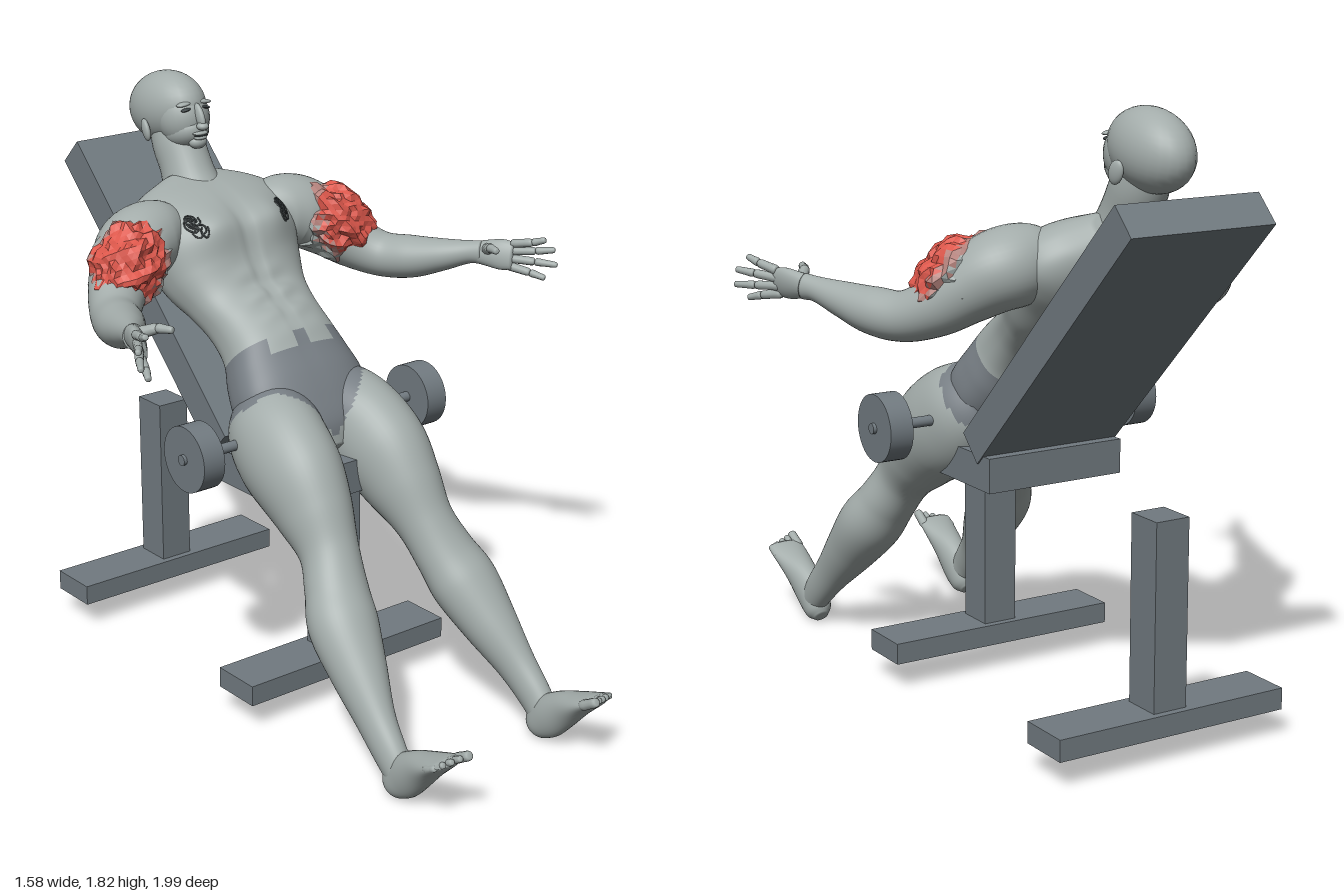
import * as THREE from 'three';

const V = (x, y, z) => new THREE.Vector3(x, y, z);
const material = (name, color, extra = {}) => new THREE.MeshStandardMaterial({ name, color, ...extra });
const gauss = (d, w) => Math.exp(-(d * d) / (w * w));
const noise = (x, y, z) => {
  const n = Math.sin(Math.round(x * 999) * 12.99 + Math.round(y * 999) * 78.23 + Math.round(z * 999) * 37.72) * 43758.5;
  return n - Math.floor(n);
};

export function createModel() {
  const model = new THREE.Group();
  model.name = 'inclineBenchExercise';
  const skin = material('skin grey', 0xa3acaa);
  const shorts = material('shorts grey', 0x777e84);
  const bench = material('bench grey', 0x717a80);
  const dark = material('dark lines', 0x3d4446);
  const red = material('muscle red', 0xdc574b, { flatShading: true });
  const pale = material('pale red', 0xb98680, { flatShading: true });
  const chip = material('torn skin', 0xa3acaa, { flatShading: true });

  const add = (name, geo, mat, pos = [0, 0, 0], parent = model) => {
    const m = new THREE.Mesh(geo, mat);
    m.name = name;
    m.position.set(...pos);
    parent.add(m);
    return m;
  };

  // Closed tube-like surface from rings f(u, angle), capped, sorted into material groups
  function surface(nu, nv, f, classify = () => 0) {
    const pos = [], lists = [[], []];
    for (let i = -1; i <= nu + 1; i++) {
      const u = Math.min(1, Math.max(0, i / nu));
      const ring = [];
      for (let j = 0; j < nv; j++) ring.push(f(u, (j / nv) * Math.PI * 2));
      if (i < 0 || i > nu) {
        const c = ring.reduce((a, p) => a.add(p), V(0, 0, 0)).divideScalar(nv);
        ring.forEach((p) => p.copy(c));
      }
      ring.forEach((p) => pos.push(p.x, p.y, p.z));
    }
    const at = (k) => V(pos[3 * k], pos[3 * k + 1], pos[3 * k + 2]);
    for (let i = 0; i < nu + 2; i++) for (let j = 0; j < nv; j++) {
      const a = i * nv + j, b = i * nv + ((j + 1) % nv), c = b + nv, d = a + nv;
      lists[classify(at(a).add(at(c)).multiplyScalar(0.5))].push(a, b, c, a, c, d);
    }
    const g = new THREE.BufferGeometry();
    g.setAttribute('position', new THREE.Float32BufferAttribute(pos, 3));
    g.setIndex([...lists[0], ...lists[1]]);
    g.addGroup(0, lists[0].length, 0);
    g.addGroup(lists[0].length, lists[1].length, 1);
    g.computeVertexNormals();
    return g;
  }

  // Limb from rows [x, y, z, half width, half depth]; depth points towards ref
  function limb(rows, side, ref, nu, nv, classify) {
    const path = new THREE.CatmullRomCurve3(rows.map((r) => V(r[0] * side, r[1], r[2])), false, 'catmullrom');
    const size = new THREE.CatmullRomCurve3(rows.map((r) => V(r[3], r[4], 0)), false, 'catmullrom');
    return surface(nu, nv, (u, a) => {
      const T = path.getTangent(u), r = size.getPoint(u);
      const e2 = ref.clone().addScaledVector(T, -ref.dot(T)).normalize();
      const e1 = e2.clone().cross(T);
      return path.getPoint(u).addScaledVector(e1, r.x * Math.cos(a)).addScaledVector(e2, r.y * Math.sin(a));
    }, classify);
  }

  // Bench: feet, posts, seat and inclined backrest
  const box = (name, w, h, d, pos) => add(name, new THREE.BoxGeometry(w, h, d), bench, pos);
  for (const [end, z, top] of [['front', 0.085, 0.7], ['rear', -0.82, 0.72]]) {
    box(end + 'FootBar', 0.76, 0.065, 0.165, [0, 0.133, z]);
    box(end + 'Post', 0.11, top - 0.15, 0.12, [0, (top + 0.15) / 2, z]);
  }
  box('seat', 0.46, 0.105, 0.44, [0, 0.738, -0.07]);
  box('backrest', 0.47, 1.09, 0.11, [0, 1.187, -0.575]).rotation.x = -Math.PI / 4;

  // Barbell across the hips
  const disc = (name, r, len, x) => {
    add(name, new THREE.CylinderGeometry(r, r, len, 40), bench, [x, 0.86, -0.035]).rotation.z = Math.PI / 2;
  };
  disc('barbellBar', 0.016, 0.96, 0);
  for (const s of [-1, 1]) disc('barbellPlate', 0.102, 0.075, s * 0.432);

  // Torso in reclined coordinates: s runs up the spine, t rises off the bench
  const recline = (x, s, t) => V(x, 0.69 + (s + t) * Math.SQRT1_2, (t - s) * Math.SQRT1_2);
  const rows = [ // s, half width, back, front
    [0.03, 0.07, 0.05, 0.17], [0.09, 0.17, 0.0, 0.215], [0.17, 0.22, -0.01, 0.24], [0.25, 0.228, -0.01, 0.255],
    [0.33, 0.212, 0.0, 0.26], [0.41, 0.19, 0.02, 0.265], [0.5, 0.187, 0.015, 0.25], [0.59, 0.205, 0.0, 0.23],
    [0.68, 0.235, -0.03, 0.245], [0.77, 0.26, -0.04, 0.272], [0.86, 0.285, -0.035, 0.262], [0.93, 0.28, -0.015, 0.235],
    [0.99, 0.22, 0.015, 0.2], [1.04, 0.11, 0.05, 0.17],
  ];
  const widths = new THREE.CatmullRomCurve3(rows.map((r) => V(r[0], r[1], 0)), false, 'catmullrom');
  const depths = new THREE.CatmullRomCurve3(rows.map((r) => V(r[0], r[2], r[3])), false, 'catmullrom');
  const torsoPoint = (u, angle, lift = 0) => {
    const { x: s, y: w } = widths.getPoint(u), { y: back, z: front } = depths.getPoint(u);
    const c = Math.cos(angle), n = -Math.sin(angle), f = Math.max(0, n);
    const x = w * Math.sign(c) * Math.abs(c) ** 0.85;
    let t = (back + front) / 2 + ((front - back) / 2 + lift) * Math.sign(n) * Math.abs(n) ** 0.8;
    // chest, midline and stomach relief
    t += f * 0.03 * gauss(Math.abs(x) - 0.11, 0.08) * gauss(s - 0.77, 0.075);
    t -= f * 0.012 * gauss(x, 0.014) * gauss(s - 0.65, 0.22);
    t += f * 0.007 * Math.cos((s - 0.46) * 75) * gauss(Math.abs(x) - 0.05, 0.04) * gauss(s - 0.53, 0.1);
    t += (1 - f) * 0.012 * gauss(x, 0.03) * gauss(s - 0.65, 0.3);
    return recline(x, s, t);
  };
  const isShorts = (p) => {
    const s = (p.y - 0.69 - p.z) * Math.SQRT1_2, t = (p.y - 0.69 + p.z) * Math.SQRT1_2, x = Math.abs(p.x);
    const top = 0.39 - (t > 0.15 && Math.abs(x - 0.07) < 0.045 ? 0.055 : 0);
    return s < top && s > 0.05 + 0.17 * Math.min(1, x / 0.17) ? 1 : 0;
  };
  add('torso', surface(120, 80, torsoPoint, isShorts), [skin, shorts]);

  // Neck and head
  add('neck', limb([[0, 1.4, -0.57, 0.11, 0.11], [0, 1.48, -0.625, 0.09, 0.1], [0, 1.55, -0.66, 0.08, 0.088],
    [0, 1.62, -0.7, 0.08, 0.088], [0, 1.69, -0.73, 0.07, 0.08]], 1, V(0, 0, 1), 16, 32), skin);
  const ball = (name, p, r, mat = skin, tilt = 0) => {
    const m = add(name, new THREE.SphereGeometry(1, 28, 20), mat, p);
    m.scale.set(...r);
    m.rotation.x = tilt;
    return m;
  };
  ball('skull', [0, 1.722, -0.752], [0.1, 0.115, 0.16], skin, -0.2);
  ball('face', [0, 1.705, -0.67], [0.083, 0.095, 0.088], skin, -0.2);
  ball('jaw', [0, 1.662, -0.66], [0.07, 0.058, 0.088], skin, -0.25);
  ball('chin', [0, 1.638, -0.593], [0.03, 0.022, 0.025]);
  ball('noseBridge', [0, 1.722, -0.58], [0.012, 0.042, 0.02], skin, -0.5);
  ball('noseTip', [0, 1.692, -0.565], [0.019, 0.013, 0.02]);
  ball('upperLip', [0, 1.668, -0.578], [0.028, 0.007, 0.014]);
  ball('mouthLine', [0, 1.661, -0.573], [0.026, 0.0025, 0.008], dark);
  ball('lowerLip', [0, 1.654, -0.577], [0.024, 0.007, 0.013]);
  for (const s of [-1, 1]) {
    ball('ear', [s * 0.1, 1.665, -0.73], [0.012, 0.036, 0.024], skin, -0.4).rotation.y = s * 0.3;
    ball('eye', [s * 0.037, 1.742, -0.601], [0.017, 0.005, 0.012], dark).rotation.z = -s * 0.2;
    ball('brow', [s * 0.038, 1.758, -0.611], [0.027, 0.007, 0.014]).rotation.z = -s * 0.12;
  }

  // Strands over the chest, laid along the torso surface
  for (const s of [-1, 1]) for (let k = 0; k < 9; k++) {
    const cx = 0.02 * Math.sin(k * 2.4), cu = 0.022 * Math.cos(k * 1.7);
    const pts = [0, 1, 2, 3, 4].map((i) => {
      const q = k * 1.3 + i * 1.25, r = 0.5 + 0.5 * noise(k, i, 1);
      const across = s * (0.98 + 5 * cx + 0.12 * r * Math.cos(q));
      return torsoPoint(0.715 + cu + 0.022 * r * Math.sin(q), -Math.PI / 2 + across * 0.62, 0.002);
    });
    add('chestStrand', new THREE.TubeGeometry(new THREE.CatmullRomCurve3(pts), 20, 0.0028, 5), dark);
  }

  const rod = (name, a, b, r0, r1, side) =>
    add(name, limb([0, 0.08, 0.5, 0.92, 1].map((k) => {
      const r = (r0 + (r1 - r0) * k) * (k === 0 || k === 1 ? 0.5 : 1);
      return [0, 1, 2].map((i) => a[i] + (b[i] - a[i]) * k).concat(r, r);
    }), side, V(0, 1, 0.3), 10, 10), skin);

  for (const side of [-1, 1]) {
    // Leg
    add('leg', limb([[0.11, 0.93, -0.11, 0.1, 0.12], [0.135, 0.885, -0.045, 0.135, 0.15], [0.155, 0.835, 0.03, 0.138, 0.168],
      [0.167, 0.775, 0.125, 0.132, 0.16], [0.175, 0.69, 0.215, 0.112, 0.128], [0.187, 0.6, 0.295, 0.09, 0.092],
      [0.212, 0.51, 0.36, 0.097, 0.088], [0.238, 0.425, 0.425, 0.107, 0.098], [0.258, 0.32, 0.52, 0.085, 0.085],
      [0.277, 0.215, 0.62, 0.056, 0.066], [0.285, 0.14, 0.695, 0.045, 0.058], [0.285, 0.085, 0.745, 0.04, 0.05]],
    side, V(0, 1, 1), 90, 48, isShorts), [skin, shorts]);
    ball('kneecap', [side * 0.19, 0.617, 0.325], [0.045, 0.05, 0.04], skin, 0.7);
    // Foot and toes
    add('foot', limb([[0.283, 0.035, 0.7, 0.022, 0.025], [0.283, 0.055, 0.72, 0.042, 0.05], [0.283, 0.095, 0.762, 0.047, 0.065],
      [0.286, 0.145, 0.825, 0.05, 0.055], [0.289, 0.185, 0.885, 0.057, 0.036], [0.292, 0.214, 0.935, 0.06, 0.021],
      [0.292, 0.226, 0.952, 0.052, 0.012]], side, V(0, 0.73, -0.68), 32, 32), skin);
    for (let i = 0; i < 5; i++) {
      const x = 0.246 + i * 0.0235, d = i * 0.006, r = i ? 0.011 : 0.016;
      rod('toe', [x, 0.212 - d / 2, 0.93 - d], [x + 0.002, 0.246 - d, 0.988 - d * 1.5], r, r * 0.9, side);
    }

    // Arm
    add('arm', limb([[0.19, 1.39, -0.5, 0.09, 0.1], [0.25, 1.395, -0.495, 0.115, 0.115], [0.32, 1.38, -0.48, 0.122, 0.115],
      [0.39, 1.335, -0.44, 0.105, 0.102], [0.455, 1.28, -0.385, 0.088, 0.085], [0.515, 1.245, -0.305, 0.075, 0.072],
      [0.56, 1.25, -0.21, 0.072, 0.068], [0.603, 1.27, -0.115, 0.055, 0.052], [0.643, 1.29, -0.035, 0.036, 0.037],
      [0.665, 1.295, 0.01, 0.03, 0.038]], side, V(0, 1, 0), 70, 40), skin);
    // Hand
    add('palm', limb([[0.655, 1.293, -0.01, 0.028, 0.034], [0.672, 1.296, 0.03, 0.026, 0.042], [0.69, 1.297, 0.07, 0.023, 0.048],
      [0.706, 1.297, 0.105, 0.016, 0.043]], side, V(0.3 * side, 1, 0), 16, 24), skin);
    [[1.333, 0.752, 1.362, 0.2], [1.31, 0.785, 1.326, 0.21], [1.287, 0.785, 1.28, 0.222], [1.264, 0.75, 1.24, 0.205]]
      .forEach(([y, x, tipY, z]) => {
        const bx = 0.705 + (y - 1.3) * 0.2, mid = [(bx + x) / 2 + 0.004, (y + tipY) / 2, 0.16];
        rod('finger', [bx, y, 0.09], mid, 0.014, 0.0125, side);
        rod('fingertip', mid, [x, tipY, z], 0.0125, 0.009, side);
      });
    rod('thumb', [0.665, 1.31, 0.03], [0.628, 1.332, 0.08], 0.019, 0.015, side);
    rod('thumbTip', [0.63, 1.331, 0.078], [0.612, 1.335, 0.13], 0.015, 0.01, side);

    // Exposed upper-arm muscle: ragged facets, red outside and paling into torn skin
    const axis = V(0.2 * side, -0.13, 0.12).normalize();
    const across = V(0, 0, 1).cross(axis).normalize();
    const geo = new THREE.IcosahedronGeometry(1, 7);
    const p = geo.attributes.position, lists = [0, 0, 0].map(() => []);
    for (let i = 0; i < p.count; i++) {
      const x = p.getX(i), y = p.getY(i), z = p.getZ(i);
      const k = 0.93 + 0.17 * noise(x, y, z) + 0.05 * Math.sin(9 * y + 5 * x);
      p.setXYZ(i, x * k * 0.155, y * k * 0.115, z * k * 0.112);
    }
    geo.applyMatrix4(new THREE.Matrix4().makeBasis(axis, across, axis.clone().cross(across)));
    for (let i = 0; i < p.count; i += 3) {
      const d = V(0, 0, 0).fromBufferAttribute(p, i).normalize();
      const face = d.x * side * 0.4 + d.y * 0.4 + d.z * 0.8 + (noise(d.x, d.y, i) - 0.5) * 0.25;
      lists[face > 0.3 ? 0 : face > 0.05 ? 1 : 2].push(i, i + 1, i + 2);
    }
    geo.setIndex(lists.flat());
    let start = 0;
    lists.forEach((l, i) => { geo.addGroup(start, l.length, i); start += l.length; });
    geo.computeVertexNormals();
    add('upperArmMuscle', geo, [red, pale, chip], [side * 0.385, 1.355, -0.42]);
  }
  return model;
}
